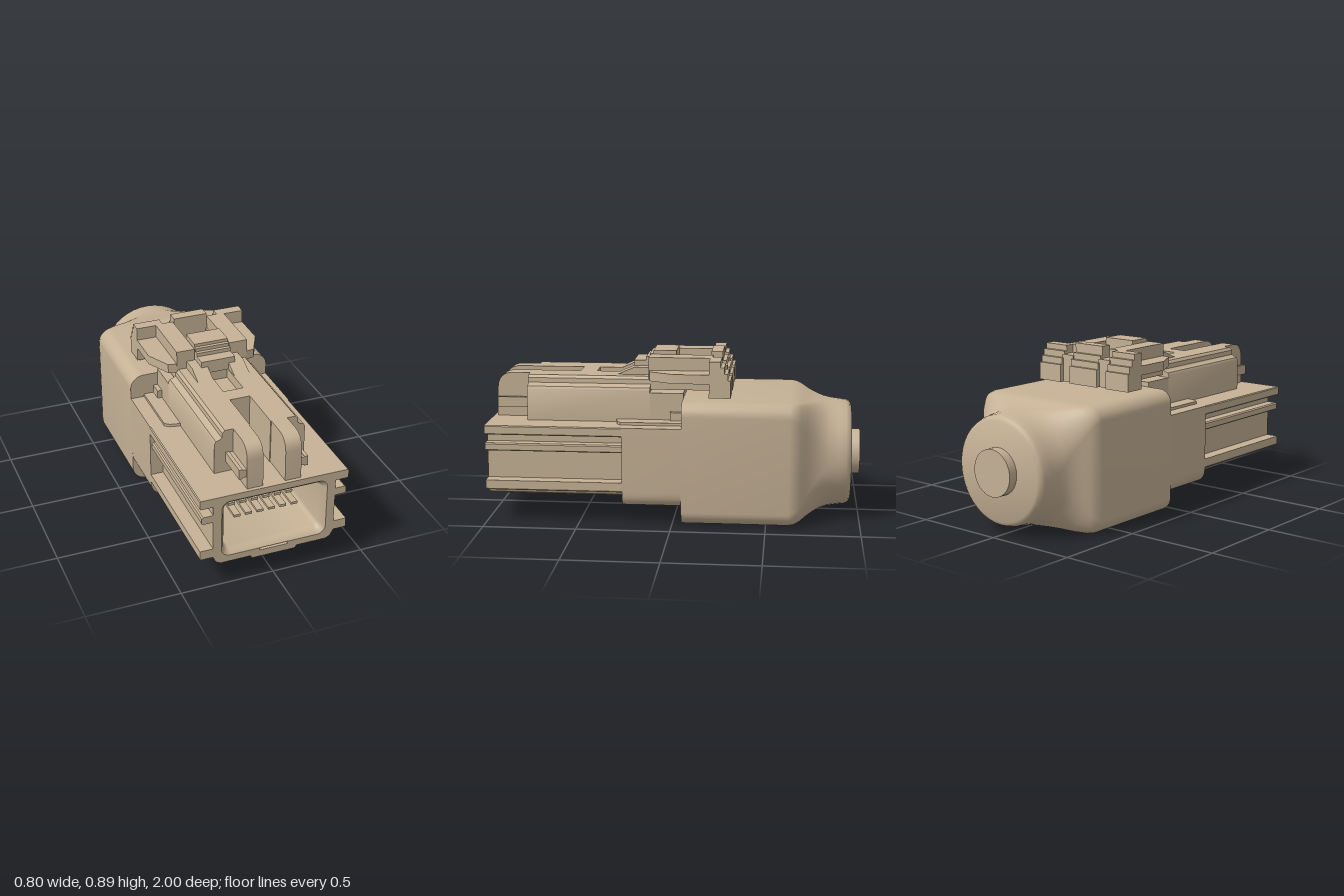
import * as THREE from 'three';
import { toCreasedNormals } from 'three/addons/utils/BufferGeometryUtils.js';

export function createModel() {
  const model = new THREE.Group();
  model.name = 'electricalConnector';
  const tan = new THREE.MeshStandardMaterial({ color: 0xc6b296 });
  tan.name = 'tanPlastic';

  const add = (name, geometry) => {
    const mesh = new THREE.Mesh(geometry, tan);
    mesh.name = name;
    model.add(mesh);
    return mesh;
  };
  const box = (name, x0, x1, y0, y1, z0, z1) => {
    const g = new THREE.BoxGeometry(x1 - x0, y1 - y0, z1 - z0);
    return add(name, g.translate((x0 + x1) / 2, (y0 + y1) / 2, (z0 + z1) / 2));
  };
  const boxPair = (name, x0, x1, ...yz) => {
    box(name + 'Left', x0, x1, ...yz);
    box(name + 'Right', -x1, -x0, ...yz);
  };
  const toShape = (pts) => new THREE.Shape(pts.map(([x, y]) => new THREE.Vector2(x, y)));
  const extrude = (shape, depth) =>
    toCreasedNormals(new THREE.ExtrudeGeometry(shape, { depth, bevelEnabled: false, curveSegments: 8 }), 0.6);
  // Front outline in x, y, swept along z
  const alongZ = (name, shape, z0, z1) => add(name, extrude(shape, z1 - z0).translate(0, 0, z0));
  // Side outline in z, y, swept along x
  const alongX = (name, shape, x0, x1) =>
    add(name, extrude(shape, x1 - x0).rotateY(-Math.PI / 2).translate(x1, 0, 0));
  // Plan outline in x, z, raised from y0 to y1
  const alongY = (name, pts, y0, y1) =>
    add(name, extrude(toShape(pts.map(([x, z]) => [x, -z])), y1 - y0).rotateX(-Math.PI / 2).translate(0, y0, 0));
  const mirrored = (pts) => [...pts, ...pts.map(([x, y]) => [-x, y]).reverse()];

  // Rounded rectangle loop; becomes a circle when r equals both half sizes
  const roundLoop = (w, h, r, cy, steps = 10) => {
    const pts = [];
    [[1, 1], [-1, 1], [-1, -1], [1, -1]].forEach(([sx, sy], q) => {
      for (let i = 0; i <= steps; i++) {
        const a = (q + i / steps) * Math.PI / 2;
        pts.push([sx * (w - r) + r * Math.cos(a), cy + sy * (h - r) + r * Math.sin(a)]);
      }
    });
    return pts;
  };
  // Skin over sections [z, halfWidth, halfHeight, radius], with optional end caps
  const loft = (name, sections, cy, capped, crease = 0.6) => {
    const pos = [], idx = [], n = 44;
    sections.forEach(([z, w, h, r]) => roundLoop(w, h, r, cy).forEach(([x, y]) => pos.push(x, y, z)));
    const last = sections.length - 1;
    for (let s = 0; s < last; s++) {
      for (let i = 0; i < n; i++) {
        const j = (i + 1) % n, a = s * n + i, b = s * n + j;
        idx.push(a, a + n, b, a + n, b + n, b);
      }
    }
    if (capped) {
      const c = pos.length / 3;
      pos.push(0, cy, sections[0][0], 0, cy, sections[last][0]);
      for (let i = 0; i < n; i++) {
        const j = (i + 1) % n;
        idx.push(c, i, j, c + 1, last * n + j, last * n + i);
      }
    }
    const g = new THREE.BufferGeometry();
    g.setAttribute('position', new THREE.Float32BufferAttribute(pos, 3));
    g.setIndex(idx);
    return add(name, toCreasedNormals(g, crease));
  };

  // Rear cover: rounded block necking down to a round end
  loft('rearCover', [
    [-0.05, 0.4, 0.332, 0.075], [-0.62, 0.4, 0.332, 0.075], [-0.65, 0.395, 0.33, 0.085],
    [-0.68, 0.375, 0.324, 0.11], [-0.71, 0.35, 0.315, 0.15], [-0.75, 0.322, 0.306, 0.2],
    [-0.79, 0.306, 0.3, 0.25], [-0.83, 0.298, 0.296, 0.28], [-0.88, 0.292, 0.292, 0.29],
    [-0.92, 0.288, 0.288, 0.288], [-0.94, 0.28, 0.28, 0.28], [-0.95, 0.262, 0.262, 0.262],
  ], 0.332, true, 0.8);
  add('cableStub', new THREE.CylinderGeometry(0.124, 0.124, 0.06, 40).rotateX(Math.PI / 2).translate(0, 0.335, -0.97));

  // Middle collar with rounded lower corners
  const collar = new THREE.Shape();
  collar.moveTo(-0.4, 0.53).lineTo(-0.4, 0.18).quadraticCurveTo(-0.4, 0.095, -0.32, 0.095)
    .lineTo(0.32, 0.095).quadraticCurveTo(0.4, 0.095, 0.4, 0.18).lineTo(0.4, 0.53);
  alongZ('middleCollar', collar, -0.06, 0.265);

  // Front shell: ribbed sides, open socket, keyed underside
  const shellOutline = mirrored([
    [0.12, 0.117], [0.125, 0.132], [0.29, 0.132], [0.315, 0.145], [0.33, 0.178], [0.395, 0.178],
    [0.4, 0.184], [0.4, 0.23], [0.33, 0.23], [0.33, 0.39], [0.382, 0.39], [0.39, 0.396], [0.39, 0.426],
    [0.382, 0.432], [0.33, 0.432], [0.33, 0.48], [0.395, 0.48], [0.4, 0.486], [0.4, 0.525], [0.395, 0.53],
  ]);
  const shell = (name, hole, z0, z1) => {
    const s = toShape(shellOutline);
    if (hole) s.holes.push(new THREE.Path(hole.map(([x, y]) => new THREE.Vector2(x, y))));
    alongZ(name, s, z0, z1);
  };
  const socketY = 0.332;
  const mouth = roundLoop(0.285, 0.163, 0.045, socketY);
  // Notch in the lower edge of the mouth, between the third and fourth corners
  mouth.splice(33, 0, [-0.077, 0.169], [-0.077, 0.155], [0.077, 0.155], [0.077, 0.169]);
  shell('shellBase', null, 0.25, 0.32);
  shell('shellWall', roundLoop(0.26, 0.137, 0.03, socketY), 0.32, 0.95);
  shell('shellMouth', mouth, 0.95, 1);
  loft('socketFunnel', [
    [0.95, 0.26, 0.137, 0.03], [0.975, 0.266, 0.143, 0.034], [0.99, 0.274, 0.152, 0.04], [1, 0.285, 0.163, 0.045],
  ], socketY, false, 1);

  // Two staggered rows of contact pins
  for (let i = 0; i < 6; i++) {
    const x = -0.175 + i * 0.063;
    box('upperPin', x - 0.018, x + 0.018, 0.363, 0.378, 0.3, 0.86);
    box('lowerPin', x + 0.014, x + 0.05, 0.283, 0.297, 0.3, 0.86);
  }

  // Pads and posts beside the upper housing
  for (const s of [-1, 1]) {
    alongY('topPad', [[0.2, -0.05], [0.325, -0.05], [0.325, 0.28], [0.3, 0.3], [0.2, 0.32]].map(([x, z]) => [s * x, z]), 0.52, 0.545);
  }
  boxPair('sidePost', 0.24, 0.27, 0.53, 0.59, -0.06, 0.02);

  // Upper latch housing with a central channel and pocket
  const half = [
    [0.055, 0.52], [0.245, 0.52], [0.245, 0.7], [0.237, 0.715], [0.215, 0.722],
    [0.205, 0.73], [0.203, 0.755], [0.19, 0.77], [0.055, 0.77],
  ];
  for (const s of [-1, 1]) alongZ('latchHousing', toShape(half.map(([x, y]) => [s * x, y])), 0.13, 0.795);
  box('housingBack', -0.245, 0.245, 0.52, 0.69, -0.05, 0.13);
  box('channelBridge', -0.06, 0.06, 0.52, 0.77, 0.44, 0.53);
  box('pocketFloor', -0.06, 0.06, 0.52, 0.715, 0.1, 0.45);

  // Front guide fins with rounded noses, side tabs and ramps
  const fin = new THREE.Shape();
  fin.moveTo(0.6, 0.52).lineTo(0.98, 0.52).lineTo(0.975, 0.69).quadraticCurveTo(0.97, 0.77, 0.89, 0.77).lineTo(0.6, 0.77);
  const ramp = toShape([[0.12, 0.76], [0.32, 0.768], [0.225, 0.81], [0.12, 0.81]]);
  for (const s of [-1, 1]) {
    const [a, b] = s > 0 ? [0.059, 0.145] : [-0.145, -0.059];
    alongX('guideFin', fin, a, b);
    alongX('latchRamp', ramp, a, b);
  }
  boxPair('finTab', 0.14, 0.17, 0.595, 0.638, 0.78, 0.97);
  boxPair('finTabLip', 0.165, 0.184, 0.588, 0.642, 0.78, 0.97);

  // Latch lever: arms, wings and rails
  for (const s of [-1, 1]) {
    const wing = [[0.19, 0.14], [0.245, 0.13], [0.31, 0], [0.31, -0.21], [0.19, -0.21]];
    alongY('leverWing', wing.map(([x, z]) => [s * x, z]), 0.755, 0.805);
  }
  boxPair('leverArm', 0.09, 0.2, 0.7, 0.805, -0.2, 0.14);
  boxPair('leverRail', 0.1, 0.2, 0.8, 0.875, -0.2, 0.14);
  box('leverBridge', -0.1, 0.1, 0.7, 0.8, 0, 0.22);

  // Stepped press pad in the middle of the lever
  alongX('pressPad', toShape([
    [0, 0.77], [0.23, 0.77], [0.23, 0.84], [0.165, 0.84], [0.165, 0.86], [0.145, 0.86],
    [0.145, 0.878], [0.125, 0.878], [0.125, 0.895], [0, 0.895],
  ]), -0.095, 0.095);

  // Stepped thumb grips at the rear of the lever
  const grip = (top) => toShape([
    [-0.19, 0.68], [-0.305, 0.68], [-0.305, 0.775], [-0.29, 0.775], [-0.29, 0.81],
    [-0.272, 0.81], [-0.272, 0.845], [-0.252, 0.845], [-0.252, top], [-0.19, top],
  ]);
  alongX('gripLeft', grip(0.875), 0.16, 0.31);
  alongX('gripRight', grip(0.875), -0.31, -0.16);
  alongX('gripCentre', grip(0.895), -0.095, 0.095);
  boxPair('gripWeb', 0.09, 0.165, 0.68, 0.83, -0.28, -0.19);

  return model;
}
